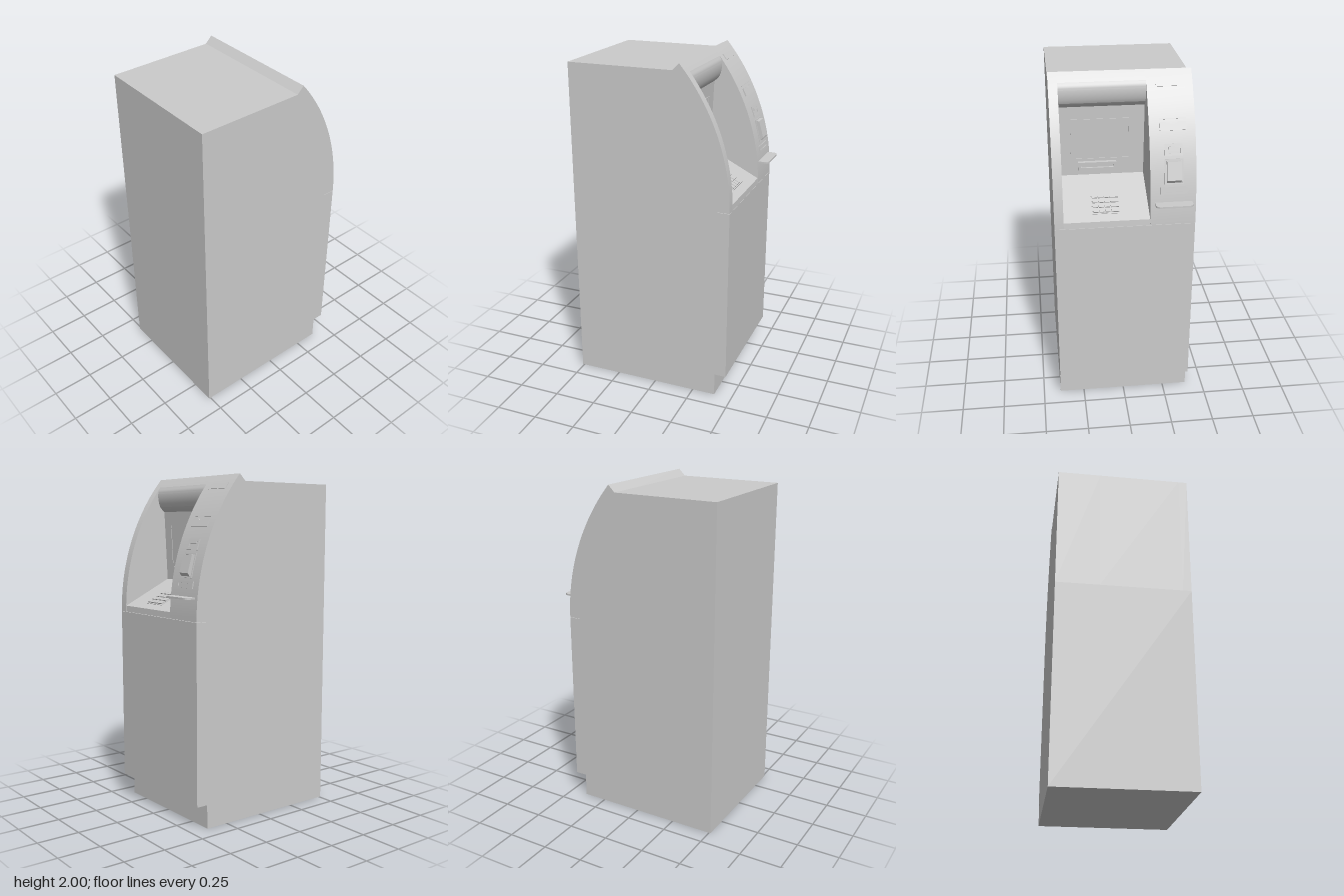
import * as THREE from 'three';
import { toCreasedNormals } from 'three/addons/utils/BufferGeometryUtils.js';

const mat = new THREE.MeshStandardMaterial({ color: 0xcccccc });
const W = 0.397, SEAM = 1.19, BACK = 0.51;   // half width, height of the joint, rear face
const RX0 = -0.14, RX1 = 0.345;              // sides of the user recess
const R = 1.243, CZ = 0.783;                 // curve of the fascia

function add(parent, name, geo) {
  const m = new THREE.Mesh(geo, mat);
  m.name = name;
  parent.add(m);
  return m;
}

function box(parent, name, w, h, d, x, y, z) {
  const m = add(parent, name, new THREE.BoxGeometry(w, h, d));
  m.position.set(x, y, z);
  return m;
}

// Side profile of [z, y] points pulled along x
function slab(parent, name, pts, x0, x1) {
  const shape = new THREE.Shape(pts.map(([z, y]) => new THREE.Vector2(z, y)));
  const geo = new THREE.ExtrudeGeometry(shape, { depth: x1 - x0, bevelEnabled: false });
  geo.rotateY(-Math.PI / 2).translate(x1, 0, 0);
  return add(parent, name, toCreasedNormals(geo, 0.2));
}

// Points on a circular side curve between two heights
function arc(r, cz, y0, y1, n = 28) {
  return Array.from({ length: n + 1 }, (_, i) => {
    const y = y0 + (y1 - y0) * i / n;
    return [cz - Math.sqrt(r * r - (y - SEAM) ** 2), y];
  });
}

// Group lying on the fascia at height y; its local -z points outward
function onFascia(parent, name, x, y) {
  const g = new THREE.Group();
  const a = Math.asin((y - SEAM) / R);
  g.name = name;
  g.position.set(x, y, CZ - R * Math.cos(a));
  g.rotation.x = a;
  parent.add(g);
  return g;
}

// Raised rectangular frame with an open middle
function frame(parent, name, w, h, t, d) {
  for (const s of [-1, 1]) {
    box(parent, name, w, t, d, 0, s * (h - t) / 2, 0);
    box(parent, name, t, h - 2 * t, d, s * (w - t) / 2, 0, 0);
  }
}

export function createModel() {
  const root = new THREE.Group();
  root.name = 'cashMachine';

  // Safe and its door
  box(root, 'safeBody', 2 * W, SEAM, 0.9, 0, SEAM / 2, 0.06);
  box(root, 'safeDoor', 2 * W, 1.048, 0.07, 0, 0.664, -0.425);

  // Upper cabinet and fascia on either side of the recess
  const inner = arc(1.233, 0.843, SEAM, 1.96);
  const outer = arc(R, CZ, SEAM, 2.0);
  for (const [x0, x1] of [[-W, RX0], [RX1, W]]) {
    slab(root, 'cabinetSide', [[BACK, SEAM], [BACK, 1.96], ...[...inner].reverse()], x0, x1);
    slab(root, 'fasciaSide', [...outer, ...[...inner].reverse()], x0, x1);
  }

  // Middle section: rolled visor, rear wall and sloping shelf
  const visor = new THREE.SplineCurve([
    [-0.203, 1.945], [-0.214, 1.92], [-0.214, 1.875], [-0.2, 1.83], [-0.17, 1.8],
  ].map(p => new THREE.Vector2(...p))).getPoints(16).map(p => [p.x, p.y]);
  slab(root, 'recessSection', [
    [BACK, SEAM], [BACK, 1.96], [-0.12, 1.96],
    ...arc(R, CZ, 2.0, 1.95, 5), ...visor,
    [-0.15, 1.38], [-0.458, 1.226], [-0.46, SEAM],
  ], RX0, RX1);

  // Screen and cash slot on the rear wall
  const wall = new THREE.Group();
  wall.name = 'rearWallParts';
  wall.position.set(0.11, 1.6, -0.161);
  wall.rotation.x = -0.047;
  root.add(wall);
  frame(wall, 'screenFrame', 0.34, 0.25, 0.008, 0.006);
  const cash = new THREE.Group();
  cash.name = 'cashSlot';
  cash.position.set(0.02, -0.16, -0.005);
  wall.add(cash);
  frame(cash, 'cashSlotFrame', 0.22, 0.05, 0.016, 0.03);
  box(cash, 'cashShutter', 0.18, 0.02, 0.01, 0, 0, 0);

  // Keypad on the shelf
  const pad = new THREE.Group();
  pad.name = 'keypad';
  pad.position.set(0.1, 1.28, -0.345);
  pad.rotation.x = -Math.atan2(0.154, 0.308);
  root.add(pad);
  box(pad, 'keypadPlate', 0.16, 0.006, 0.145, 0, 0.002, 0);
  for (let r = 0; r < 4; r++) {
    for (let c = 0; c < 4; c++) {
      const wide = c === 0;
      box(pad, 'key', wide ? 0.046 : 0.028, 0.008, 0.027,
        wide ? -0.05 : -0.007 + (c - 1) * 0.034, 0.008, -0.051 + r * 0.034);
    }
  }

  // Rounded tray below the receipt slot
  const tray = new THREE.Shape();
  tray.moveTo(-0.375, 0.44);
  tray.lineTo(-0.165, 0.44);
  tray.lineTo(-0.165, 0.483);
  tray.quadraticCurveTo(-0.165, 0.514, -0.197, 0.514);
  tray.lineTo(-0.343, 0.514);
  tray.quadraticCurveTo(-0.375, 0.514, -0.375, 0.483);
  const trayGeo = new THREE.ExtrudeGeometry(tray, { depth: 0.01, bevelEnabled: false, curveSegments: 8 });
  trayGeo.rotateX(-Math.PI / 2).translate(0, 1.315, 0);
  add(root, 'tray', toCreasedNormals(trayGeo, 0.5));

  // Receipt slot
  const receipt = onFascia(root, 'receiptSlot', -0.272, 1.39);
  frame(receipt, 'receiptFrame', 0.15, 0.04, 0.012, 0.012);

  // Card reader: wedge block with a raised bezel
  slab(root, 'cardReader', [
    [-0.39, 1.555], [-0.428, 1.555], [-0.457, 1.455], [-0.444, 1.437], [-0.42, 1.437],
  ], -0.312, -0.232);
  const card = onFascia(root, 'cardBezel', -0.272, 1.495);
  frame(card, 'cardBezelEdge', 0.105, 0.14, 0.008, 0.008);

  // Small hooded reader
  const reader = onFascia(root, 'smallReader', -0.272, 1.61);
  frame(reader, 'smallReaderFrame', 0.1, 0.065, 0.014, 0.01);
  box(reader, 'smallReaderHood', 0.06, 0.014, 0.014, 0, 0.01, -0.002);

  // Notched slip holder
  const slip = onFascia(root, 'slipHolder', -0.272, 1.735);
  const lip = new THREE.Shape();
  lip.moveTo(-0.075, -0.03);
  lip.lineTo(0.075, -0.03);
  lip.lineTo(0.075, 0.018);
  lip.lineTo(0.028, 0.018);
  lip.quadraticCurveTo(0, -0.01, -0.028, 0.018);
  lip.lineTo(-0.075, 0.018);
  const lipGeo = new THREE.ExtrudeGeometry(lip, { depth: 0.012, bevelEnabled: false, curveSegments: 8 });
  add(slip, 'slipLip', lipGeo.translate(0, 0, -0.007));
  box(slip, 'slipTopEdge', 0.15, 0.005, 0.008, 0, 0.034, 0);

  // Flush lamp panel at the top
  const lamp = onFascia(root, 'lampPanel', -0.272, 1.935);
  box(lamp, 'lampCover', 0.16, 0.04, 0.006, 0, 0, 0);

  return root;
}
